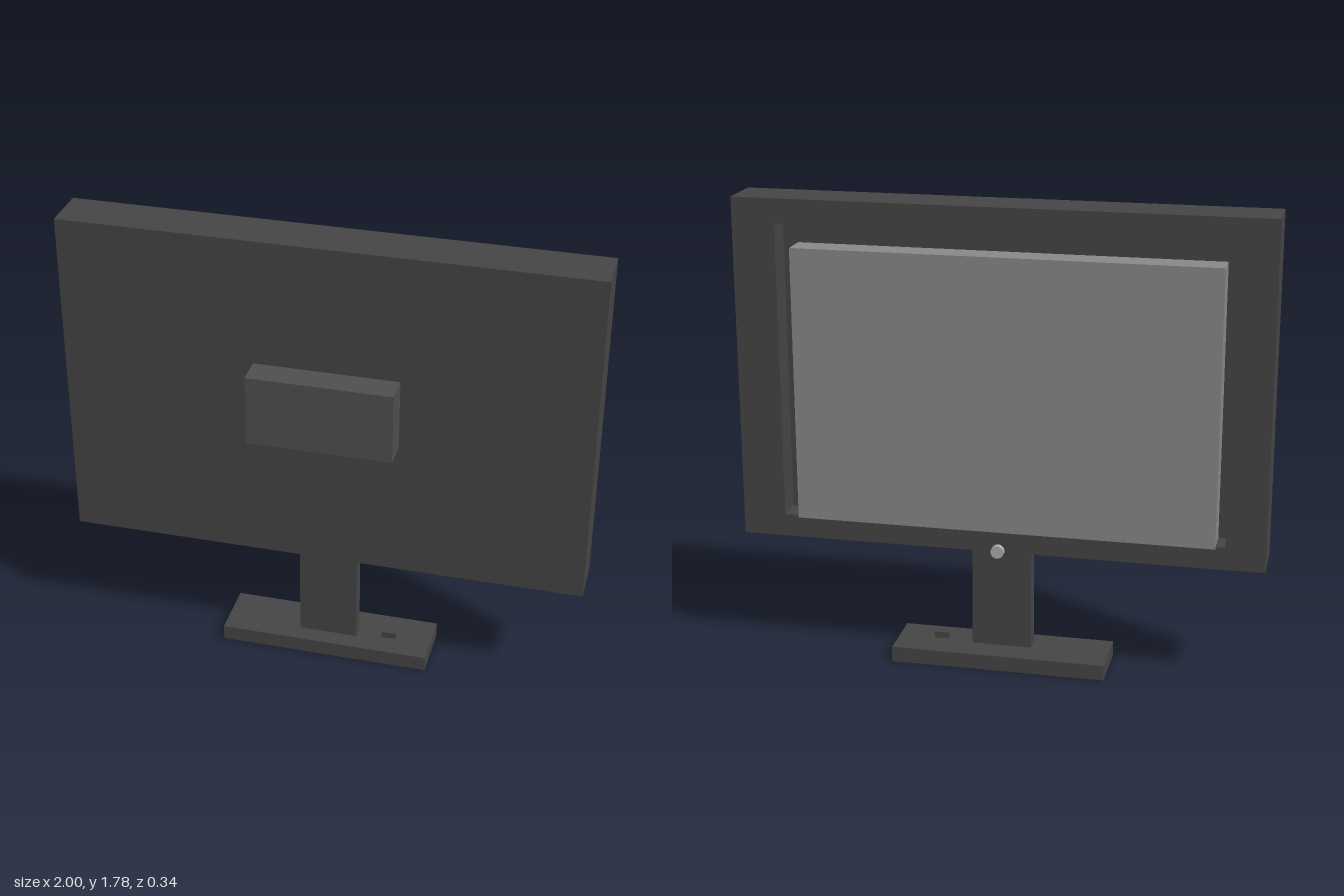
import * as THREE from 'three';

const paint = (color) => new THREE.MeshStandardMaterial({ color });

export function createModel() {
  const model = new THREE.Group();
  model.name = 'monitor';
  const dark = paint(0x464646);
  const grey = paint(0x505050);
  const screenGrey = paint(0x8a8a8a);
  const light = paint(0xb0b0b0);

  const add = (name, geometry, material) => {
    const mesh = new THREE.Mesh(geometry, material);
    mesh.name = name;
    model.add(mesh);
    return mesh;
  };

  // Box given by its lower and upper limits on each axis
  const box = (name, material, [x0, x1], [y0, y1], [z0, z1]) => {
    const mesh = add(name, new THREE.BoxGeometry(x1 - x0, y1 - y0, z1 - z0), material);
    mesh.position.set((x0 + x1) / 2, (y0 + y1) / 2, (z0 + z1) / 2);
  };

  const rectangle = (path, x0, x1, y0, y1) =>
    path.moveTo(x0, y0).lineTo(x1, y0).lineTo(x1, y1).lineTo(x0, y1).closePath();

  // Housing: a solid panel and a deep bezel around the screen recess
  box('housingPanel', dark, [-1, 1], [0.47, 1.78], [-0.03, 0.06]);
  const outline = rectangle(new THREE.Shape(), -1, 1, 0.47, 1.78);
  outline.holes.push(rectangle(new THREE.Path(), -0.85, 0.836, 0.557, 1.687));
  const bezel = new THREE.ExtrudeGeometry(outline, { depth: 0.1, bevelEnabled: false });
  add('bezel', bezel, dark).position.z = -0.13;

  // Screen block standing in the recess, slightly proud of the bezel
  box('screen', screenGrey, [-0.815, 0.78], [0.55, 1.6], [-0.137, -0.03]);

  // Mount block on the other face
  box('mountBlock', grey, [-0.265, 0.285], [1.015, 1.29], [0.06, 0.171]);

  // Stand
  box('neck', dark, [-0.115, 0.115], [0.06, 0.47], [-0.065, -0.01]);
  box('base', dark, [-0.415, 0.41], [0, 0.06], [-0.171, 0.06]);
  box('baseButton', dark, [0.215, 0.27], [0.06, 0.085], [-0.05, -0.03]);

  // Round power button at the lower edge of the bezel
  const power = new THREE.CylinderGeometry(0.025, 0.025, 0.028, 24).rotateX(Math.PI / 2);
  add('powerButton', power, light).position.set(0, 0.476, -0.136);

  return model;
}
